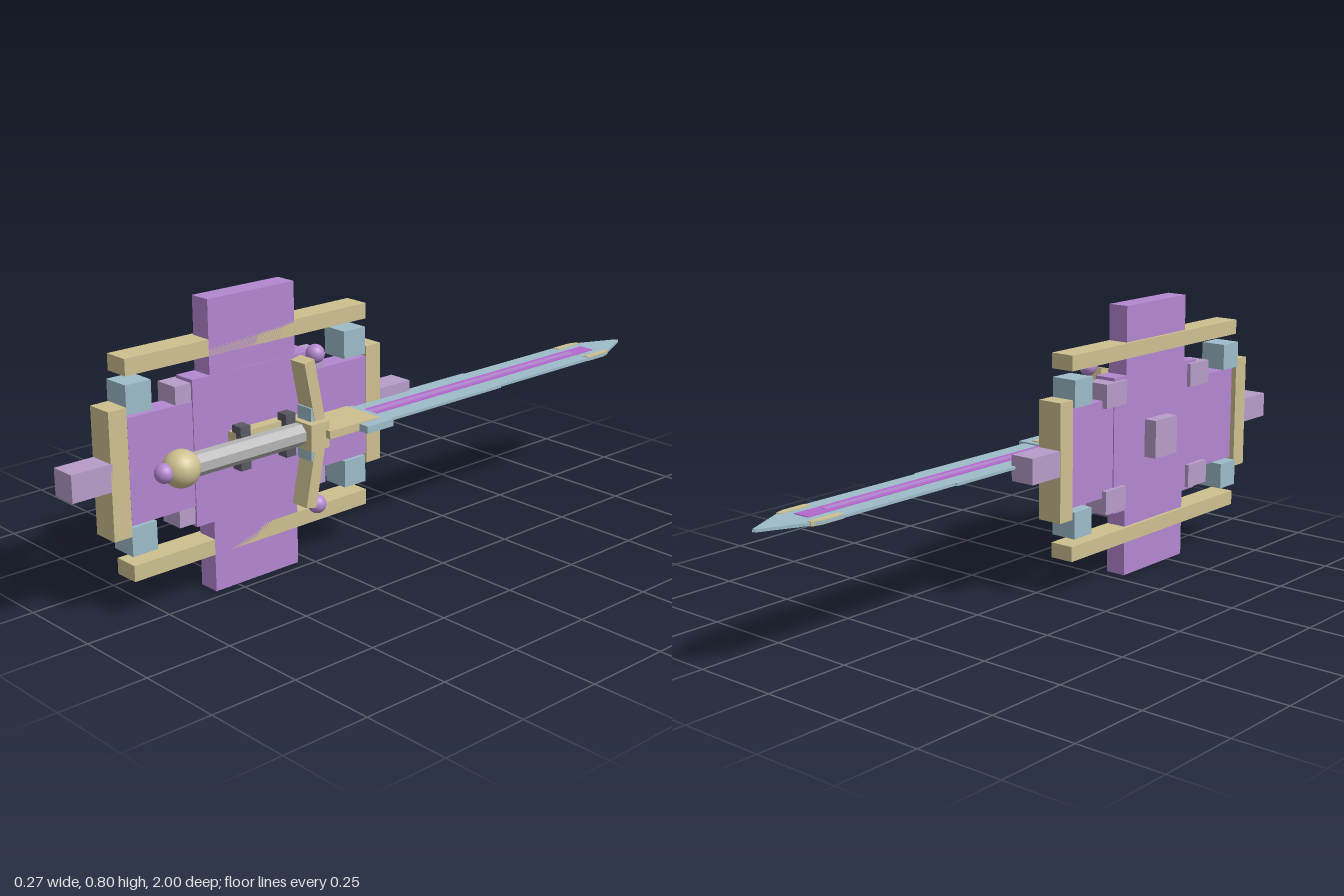
import * as THREE from 'three';

const mat = (name, color, flatShading = false) => {
  const m = new THREE.MeshStandardMaterial({ color, flatShading });
  m.name = name;
  return m;
};

export function createModel() {
  const purple = mat('purple', 0xb487d0);
  const mauve = mat('pale mauve', 0xb89dca);
  const gold = mat('sand gold', 0xcdc090);
  const blue = mat('steel blue', 0x9dbcc9);
  const grey = mat('grip grey', 0xb5b5b5);
  const dark = mat('dark grey', 0x5b5863);
  const magenta = mat('magenta', 0xb568cf);

  const model = new THREE.Group();
  const shield = new THREE.Group();
  shield.name = 'shield';
  const sword = new THREE.Group();
  sword.name = 'sword';
  model.add(shield, sword);

  const add = (parent, name, geometry, material, x = 0, y = 0, z = 0) => {
    const mesh = new THREE.Mesh(geometry, material);
    mesh.name = name;
    mesh.position.set(x, y, z);
    parent.add(mesh);
    return mesh;
  };
  // Box given by its limits on each axis
  const box = (parent, name, material, [x0, x1], [y0, y1], [z0, z1]) =>
    add(parent, name, new THREE.BoxGeometry(x1 - x0, y1 - y0, z1 - z0), material,
      (x0 + x1) / 2, (y0 + y1) / 2, (z0 + z1) / 2);
  const around = (c, size) => [c - size / 2, c + size / 2];

  // Shield, stacked in plates facing +x
  const CY = 0.4, CZ = 0.43;
  box(shield, 'shieldPlate', purple, [-0.092, -0.031], around(CY, 0.285), around(CZ, 0.8));
  box(shield, 'shieldMiddlePlate', purple, [-0.095, -0.028], around(CY, 0.4), around(CZ, 0.4));
  box(shield, 'shieldUpright', purple, [-0.093, -0.03], [0, 0.8], around(CZ, 0.285));
  box(shield, 'shieldBoss', mauve, [-0.135, -0.09], around(CY, 0.113), around(CZ, 0.105));

  for (const s of [-1, 1]) {
    box(shield, 'shieldRail', gold, [-0.104, -0.03], around(CY + s * 0.273, 0.044), around(CZ, 0.8));
    box(shield, 'shieldEndPlate', gold, [-0.107, -0.03], around(CY, 0.342), around(CZ + s * 0.428, 0.054));
    box(shield, 'shieldEndStud', mauve, [-0.105, -0.03], around(CY, 0.074), around(CZ + s * 0.51, 0.12));
    for (const t of [-1, 1]) {
      box(shield, 'shieldCornerBlock', blue, [-0.113, -0.033], around(CY + s * 0.188, 0.078), around(CZ + t * 0.361, 0.077));
      box(shield, 'shieldRivetBlock', mauve, [-0.107, -0.034], around(CY + s * 0.156, 0.07), around(CZ + t * 0.203, 0.094));
    }
  }

  // Mount joining the shield and the sword
  box(shield, 'mount', gold, [-0.031, 0.005], around(CY, 0.078), [0.335, 0.52]);
  for (const z of [0.35, 0.503])
    box(shield, 'mountClamp', dark, [-0.011, 0.024], around(CY, 0.12), around(z, 0.033));

  // Grip and pommel
  const CX = 0.035;
  const grip = new THREE.CylinderGeometry(0.032, 0.032, 0.37, 8).rotateY(Math.PI / 8).rotateX(Math.PI / 2);
  grey.flatShading = true;
  add(sword, 'grip', grip, grey, CX, CY + 0.002, 0.505);
  const ball = (name, r, material, y, z) =>
    add(sword, name, new THREE.SphereGeometry(r, 20, 14), material, CX, y, z);
  ball('pommel', 0.05, gold, 0.402, 0.72);
  ball('pommelBead', 0.026, purple, 0.402, 0.772);

  // Cross guard with arms leaning towards the grip
  box(sword, 'guardCentre', gold, around(CX, 0.1), around(CY, 0.074), [0.268, 0.332]);
  box(sword, 'guardCollar', blue, around(CX, 0.054), around(CY, 0.148), [0.272, 0.313]);
  for (const s of [-1, 1]) {
    const arm = add(sword, 'guardArm', new THREE.BoxGeometry(0.057, 0.175, 0.035), gold,
      CX, CY + s * 0.119, 0.299);
    arm.rotation.x = s * 0.2;
    ball('guardBead', 0.026, purple, CY + s * 0.212, 0.272);
  }

  // Flat plate cut from an outline of [half width, z] points, mirrored about the blade axis
  const plate = (name, material, half, thickness) => {
    const left = half.map(([w, z]) => new THREE.Vector2(-w, -z)).reverse();
    const right = half.map(([w, z]) => new THREE.Vector2(w, -z));
    const geometry = new THREE.ExtrudeGeometry(new THREE.Shape([...right, ...left]),
      { depth: thickness, bevelEnabled: false });
    geometry.rotateX(-Math.PI / 2);
    return add(sword, name, geometry, material, CX, CY + 0.002 - thickness / 2, 0);
  };

  // Blade, its pointed tip, and the inlaid stripes
  plate('blade', blue, [[0.079, 0.12], [0.079, -0.37], [0.073, -0.375], [0.073, -0.84], [0.066, -0.86], [0.004, -0.995]], 0.008);
  plate('bladeTip', blue, [[0.05, -0.85], [0.0005, -1]], 0.005);
  plate('bladeStripe', magenta, [[0.025, 0.12], [0.025, -0.845]], 0.012);
  plate('bladeStripeCore', purple, [[0.01, 0.12], [0.01, -0.77]], 0.014);

  // Blade root and its side lugs
  plate('bladeRoot', gold, [[0.066, 0.28], [0.066, 0.1]], 0.022);
  box(sword, 'bladeLugs', blue, around(CX, 0.197), around(CY, 0.02), [0.08, 0.175]);

  // Gold fittings near the point
  for (const s of [-1, 1]) {
    const outline = [[0.05, -0.77], [0.071, -0.77], [0.071, -0.84], [0.063, -0.87], [0.05, -0.87]]
      .map(([w, z]) => new THREE.Vector2(s * w, -z));
    const fitting = new THREE.ExtrudeGeometry(new THREE.Shape(outline), { depth: 0.012, bevelEnabled: false });
    fitting.rotateX(-Math.PI / 2);
    add(sword, 'tipFitting', fitting, gold, CX, CY - 0.004, 0);
  }

  return model;
}
